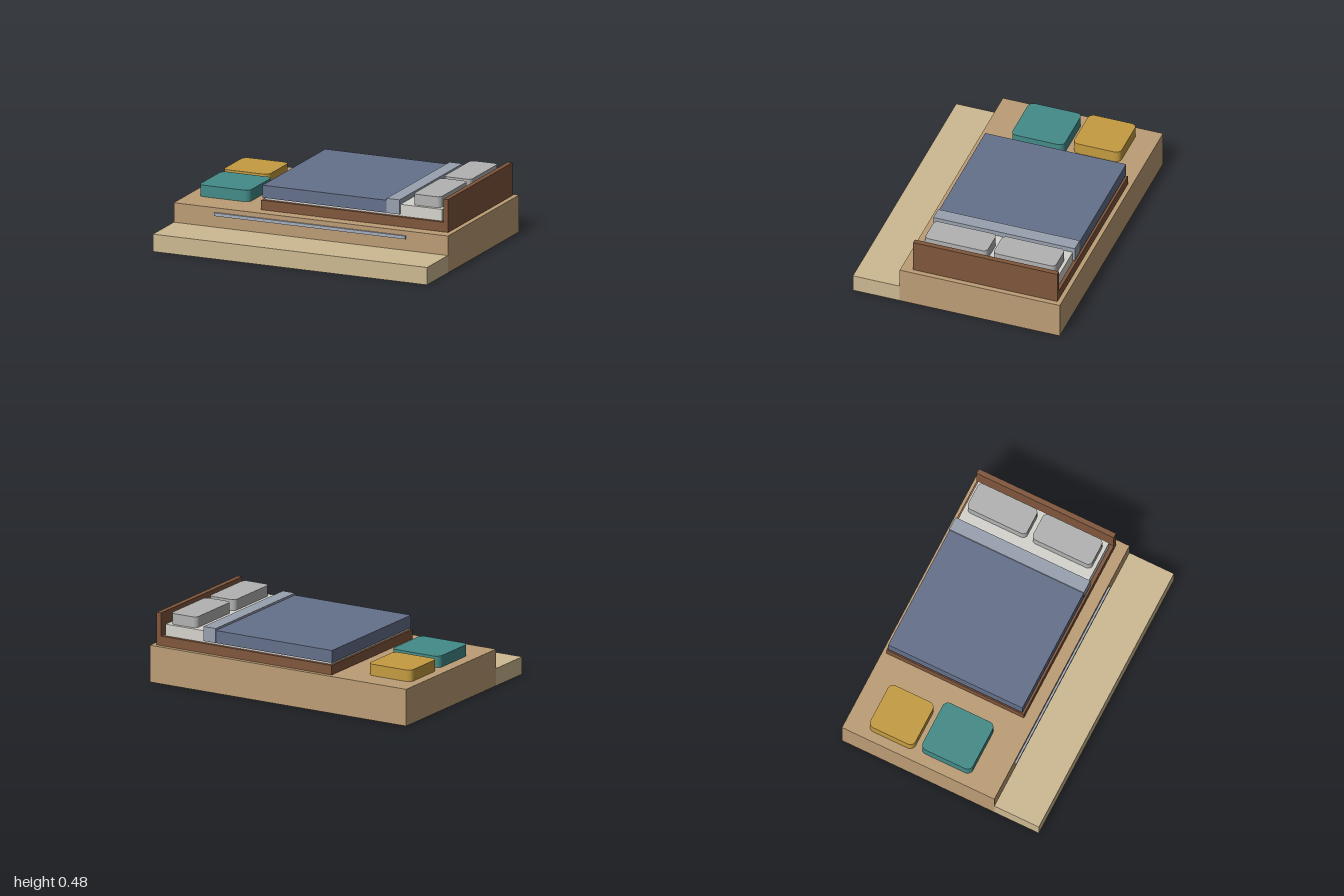
import * as THREE from 'three';

const mat = (color) => new THREE.MeshStandardMaterial({ color });

// Box given by its extents on each axis
function box(name, material, [x0, x1], [y0, y1], [z0, z1]) {
  const mesh = new THREE.Mesh(new THREE.BoxGeometry(x1 - x0, y1 - y0, z1 - z0), material);
  mesh.position.set((x0 + x1) / 2, (y0 + y1) / 2, (z0 + z1) / 2);
  mesh.name = name;
  return mesh;
}

// Flat slab with corners rounded in plan
function cushion(name, material, [x0, x1], [y0, y1], [z0, z1], r) {
  const a = (x1 - x0) / 2, b = (z1 - z0) / 2;
  const shape = new THREE.Shape();
  shape.absarc(a - r, b - r, r, 0, Math.PI / 2);
  shape.absarc(-a + r, b - r, r, Math.PI / 2, Math.PI);
  shape.absarc(-a + r, -b + r, r, Math.PI, Math.PI * 1.5);
  shape.absarc(a - r, -b + r, r, Math.PI * 1.5, Math.PI * 2);
  shape.closePath();
  const geo = new THREE.ExtrudeGeometry(shape, { depth: y1 - y0, bevelEnabled: false, curveSegments: 6 });
  geo.rotateX(-Math.PI / 2);
  const mesh = new THREE.Mesh(geo, material);
  mesh.position.set((x0 + x1) / 2, y0, (z0 + z1) / 2);
  mesh.name = name;
  return mesh;
}

export function createModel() {
  const model = new THREE.Group();
  model.name = 'platformBed';
  const walnut = mat(0x80563c), pillowGrey = mat(0xb2b2b2);

  // Raised platform, its step and the light strip on the riser
  model.add(
    box('platform', mat(0xbc9d75), [-1, 1], [0, 0.254], [-0.73, 0.4]),
    box('step', mat(0xcdb991), [-1, 1], [0, 0.12], [0.4, 0.73]),
    box('lightStrip', mat(0xa5adba), [-0.7, 0.695], [0.2, 0.222], [0.398, 0.414]),
  );

  // Bed: frame, headboard, mattress, duvet and its folded edge
  const bed = new THREE.Group();
  bed.name = 'bed';
  bed.add(
    box('bedFrame', walnut, [-0.4, 0.935], [0.254, 0.32], [-0.7, 0.318]),
    box('headboard', walnut, [0.93, 0.965], [0.254, 0.48], [-0.7, 0.318]),
    box('mattress', mat(0xd5d3cc), [-0.385, 0.91], [0.32, 0.4], [-0.677, 0.293]),
    box('duvet', mat(0x64708b), [-0.396, 0.515], [0.334, 0.42], [-0.69, 0.305]),
    box('duvetFold', mat(0x98a1af), [0.51, 0.605], [0.334, 0.434], [-0.692, 0.307]),
  );
  for (const z of [-0.434, 0.048]) {
    bed.add(cushion('pillow', pillowGrey, [0.685, 0.885], [0.4, 0.475], [z - 0.22, z + 0.22], 0.032));
  }
  model.add(bed);

  // Floor cushions at the foot of the bed
  model.add(
    cushion('goldCushion', mat(0xc49b41), [-0.935, -0.602], [0.254, 0.333], [-0.57, -0.236], 0.04),
    cushion('tealCushion', mat(0x428b88), [-0.92, -0.55], [0.254, 0.333], [-0.19, 0.182], 0.04),
  );
  return model;
}
